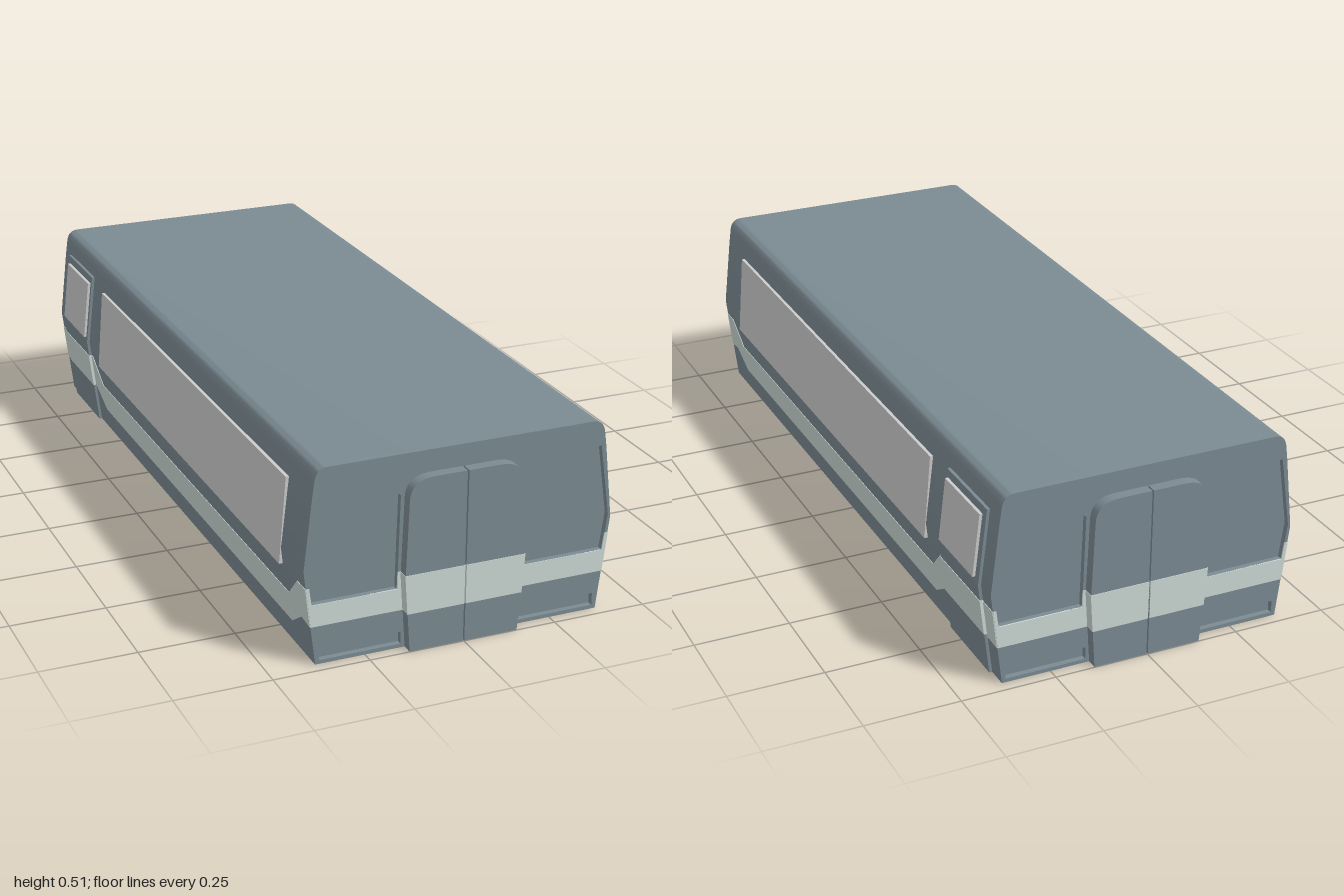
import * as THREE from 'three';
import { toCreasedNormals } from 'three/addons/utils/BufferGeometryUtils.js';

const paint = new THREE.MeshStandardMaterial({ color: 0x7b8a92 });
const stripe = new THREE.MeshStandardMaterial({ color: 0xccdad6 });
const glass = new THREE.MeshStandardMaterial({ color: 0xcccccc });

const HALF = 0.97, RECESS = 0.015, BEND = 0.25;

const polygon = (pts) => new THREE.Shape(pts.map(([x, y]) => new THREE.Vector2(x, y)));
const flipX = (pts) => pts.map(([x, y]) => [-x, y]);
const rect = (a, b, c, d) => [[a, c], [b, c], [b, d], [a, d]];

// Half-width of the body wall at height y
const wall = (y) => (y < BEND ? 0.38 + 0.12 * y : 0.41 - 0.116 * (y - BEND));

function add(parent, name, geometry, material) {
  const mesh = new THREE.Mesh(geometry, material);
  mesh.name = name;
  parent.add(mesh);
  return mesh;
}

// Extrude a shape along z from z0 to z1
function slab(shape, z0, z1) {
  return new THREE.ExtrudeGeometry(shape, { depth: z1 - z0, bevelEnabled: false, curveSegments: 10 })
    .translate(0, 0, z0);
}

// Panel outlined in (z, y), leaning with the wall; skin(y) is its outer half-width
function sidePanel(s, pts, skin, depth = 0.02) {
  const g = slab(polygon(pts.map(([z, y]) => [-s * z, y])), -depth, 0);
  const p = g.attributes.position;
  for (let i = 0; i < p.count; i++) p.setZ(i, p.getZ(i) + skin(p.getY(i)));
  g.rotateY(s * Math.PI / 2);
  g.computeVertexNormals();
  return g;
}

// Body cross-section with bowed walls and rounded roof corners
function sectionShape() {
  const s = new THREE.Shape();
  s.moveTo(-0.38, 0);
  s.lineTo(0.38, 0);
  s.lineTo(0.41, BEND);
  s.lineTo(0.388, 0.44);
  s.lineTo(0.383, 0.475);
  s.quadraticCurveTo(0.379, 0.51, 0.35, 0.51);
  s.lineTo(-0.35, 0.51);
  s.quadraticCurveTo(-0.379, 0.51, -0.383, 0.475);
  s.lineTo(-0.388, 0.44);
  s.lineTo(-0.41, BEND);
  s.closePath();
  return s;
}

// One leaf of the end double door (right half)
function leafShape() {
  const s = new THREE.Shape();
  s.moveTo(0.002, 0);
  s.lineTo(0.145, 0);
  s.lineTo(0.159, 0.2);
  s.lineTo(0.152, 0.4);
  s.quadraticCurveTo(0.15, 0.453, 0.085, 0.453);
  s.lineTo(0.002, 0.453);
  s.closePath();
  return s;
}

function createEnd() {
  const end = new THREE.Group();
  const windowPts = [[0.168, 0.16], [0.39, 0.16], [0.403, 0.255], [0.375, 0.443], [0.21, 0.443], [0.162, 0.405]];
  const lampPts = rect(0.156, 0.37, 0.01, 0.043);
  const stripePts = [[0.14, 0.102], [0.392, 0.102], [0.4045, 0.205], [0.396, 0.205],
    [0.39, 0.16], [0.168, 0.16], [0.167, 0.205], [0.14, 0.205]];
  const doorStripe = [[0.002, 0.102], [0.1535, 0.102], [0.1605, 0.205], [0.002, 0.205]];

  // End wall with recessed windows and lower slots
  const plate = sectionShape();
  for (const pts of [windowPts, flipX(windowPts), lampPts, flipX(lampPts)]) plate.holes.push(polygon(pts));
  add(end, 'endWall', toCreasedNormals(slab(plate, HALF - RECESS, HALF), 0.5), paint);

  // Double door and the pale stripe across the end
  const leaf = leafShape();
  const leafPts = leaf.getPoints(10).map((v) => [v.x, v.y]);
  for (const side of [1, -1]) {
    const face = (pts) => polygon(side > 0 ? pts : flipX(pts));
    add(end, 'endDoorLeaf', toCreasedNormals(slab(face(leafPts), HALF - 0.005, 0.9985), 0.5), paint);
    add(end, 'endDoorStripe', slab(face(doorStripe), HALF, 1), stripe);
    add(end, 'endStripe', slab(face(stripePts), HALF - 0.002, HALF + 0.0015), stripe);
  }
  return end;
}

function createSide(s) {
  const side = new THREE.Group();
  // Stripe that dips below the long window
  const band = [[HALF, 0.102], [0.92, 0.108], [0.85, 0.062], [-0.6, 0.062], [-0.68, 0.112], [-HALF, 0.102],
    [-HALF, 0.205], [-0.67, 0.208], [-0.6, 0.14], [0.85, 0.14], [0.92, 0.205], [HALF, 0.205]];
  add(side, 'sideStripe', sidePanel(s, band, (y) => wall(y) + 0.0015, 0.005), stripe);

  // Long window
  add(side, 'longWindow', sidePanel(s, rect(-0.585, 0.83, 0.21, 0.435),
    (y) => 0.415 - 0.08 * (y - 0.21)), glass);

  // Side door in two flat halves, meeting at the bend of the wall
  const doorSkin = (y) => wall(y) + 0.008;
  add(side, 'sideDoorLower', sidePanel(s, rect(-0.915, -0.685, 0, BEND), doorSkin), paint);
  add(side, 'sideDoorUpper', sidePanel(s, rect(-0.915, -0.685, BEND, 0.45), doorSkin), paint);
  add(side, 'sideDoorStripe', sidePanel(s, rect(-0.9165, -0.6835, 0.112, 0.208),
    (y) => doorSkin(y) + 0.0015), stripe);
  add(side, 'sideDoorWindow', sidePanel(s, rect(-0.895, -0.695, 0.265, 0.43),
    (y) => 0.4235 - 0.112 * (y - 0.265)), glass);
  return side;
}

export function createModel() {
  const model = new THREE.Group();
  model.name = 'railCar';

  add(model, 'body', toCreasedNormals(slab(sectionShape(), -HALF + RECESS, HALF - RECESS), 0.5), paint);

  ['frontEnd', 'backEnd'].forEach((name, i) => {
    const end = createEnd();
    end.name = name;
    end.rotation.y = i * Math.PI;
    model.add(end);
  });

  for (const s of [1, -1]) {
    const side = createSide(s);
    side.name = s > 0 ? 'leftSide' : 'rightSide';
    model.add(side);
  }
  return model;
}
